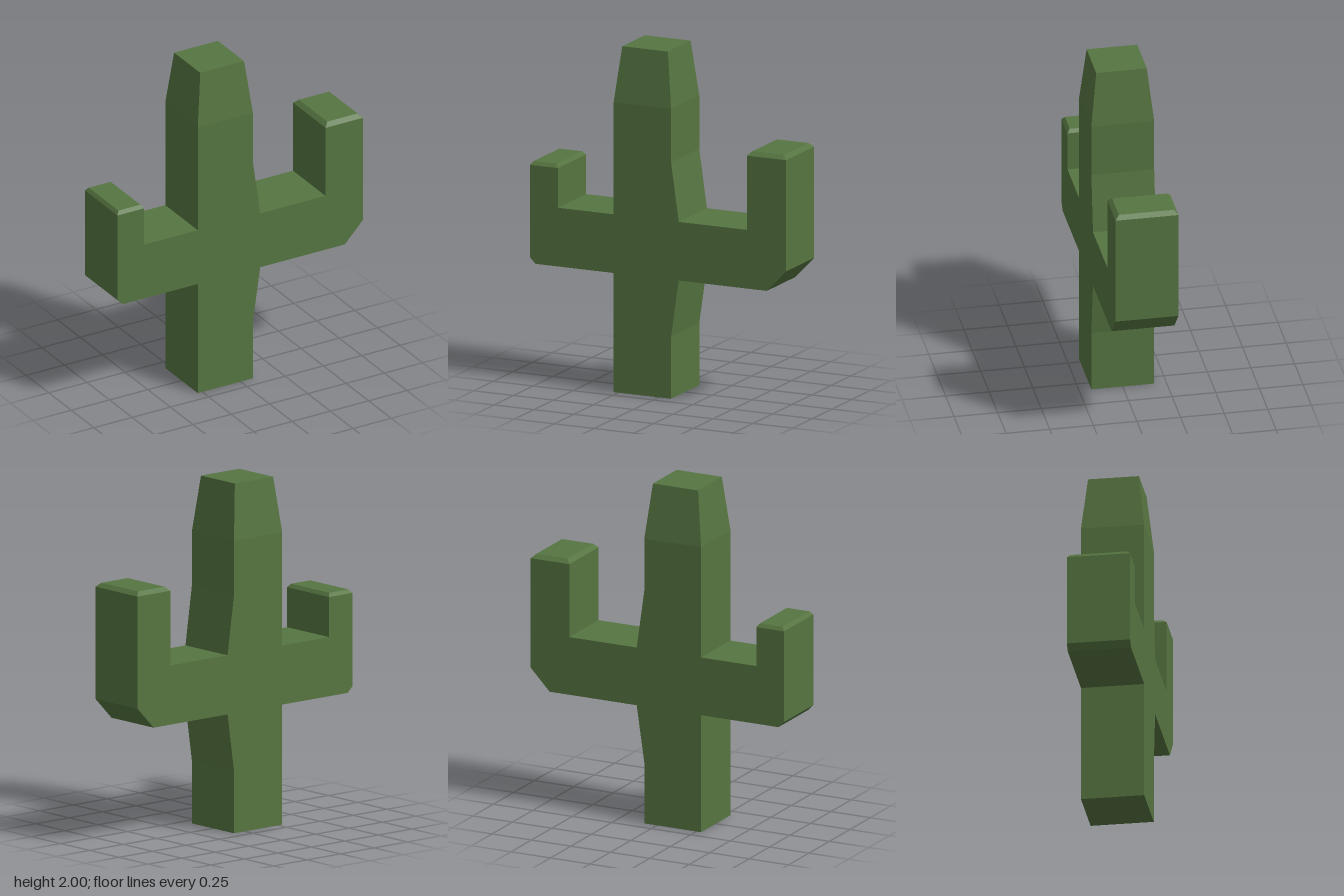
import * as THREE from 'three';

const HALF_DEPTH = 0.18;

// Block from x0..x1 and y0..y1 whose top is drawn in on all four sides
function taperedCap(name, material, x0, x1, y0, y1, insetX, insetZ) {
  const width = x1 - x0;
  const geometry = new THREE.BoxGeometry(width, y1 - y0, HALF_DEPTH * 2);
  const p = geometry.attributes.position;
  for (let i = 0; i < p.count; i++) {
    if (p.getY(i) > 0) {
      p.setX(i, p.getX(i) * (1 - (2 * insetX) / width));
      p.setZ(i, p.getZ(i) * (1 - insetZ / HALF_DEPTH));
    }
  }
  geometry.computeVertexNormals();
  const mesh = new THREE.Mesh(geometry, material);
  mesh.name = name;
  mesh.position.set((x0 + x1) / 2, (y0 + y1) / 2, 0);
  return mesh;
}

export function createModel() {
  const group = new THREE.Group();
  group.name = 'cactus';
  const green = new THREE.MeshStandardMaterial({ color: 0x567541, flatShading: true });

  // Trunk and both arms as one outline, counter-clockwise from the base
  const outline = [
    [-0.28, 0], [0.08, 0], [0.08, 0.36], [0.128, 0.69],
    [0.68, 0.69], [0.8, 0.815], [0.8, 1.46], [0.555, 1.46], [0.555, 1.03],
    [0.128, 1.03], [0.08, 1.37], [0.08, 1.68], [-0.28, 1.68], [-0.28, 1.03],
    [-0.63, 1.03], [-0.63, 1.26], [-0.805, 1.26], [-0.805, 0.725], [-0.77, 0.69],
    [-0.28, 0.69],
  ].map(([x, y]) => new THREE.Vector2(x, y));
  const bodyGeometry = new THREE.ExtrudeGeometry(new THREE.Shape(outline), {
    depth: HALF_DEPTH * 2,
    bevelEnabled: false,
  });
  bodyGeometry.translate(0, 0, -HALF_DEPTH);
  const body = new THREE.Mesh(bodyGeometry, green);
  body.name = 'trunkAndArms';
  group.add(body);

  // Tapered trunk top and chamfered arm tips
  group.add(
    taperedCap('trunkTip', green, -0.28, 0.08, 1.68, 2, 0.037, 0.035),
    taperedCap('leftArmTip', green, 0.555, 0.8, 1.46, 1.483, 0.024, 0.023),
    taperedCap('rightArmTip', green, -0.805, -0.63, 1.26, 1.28, 0.016, 0.016),
  );
  return group;
}
